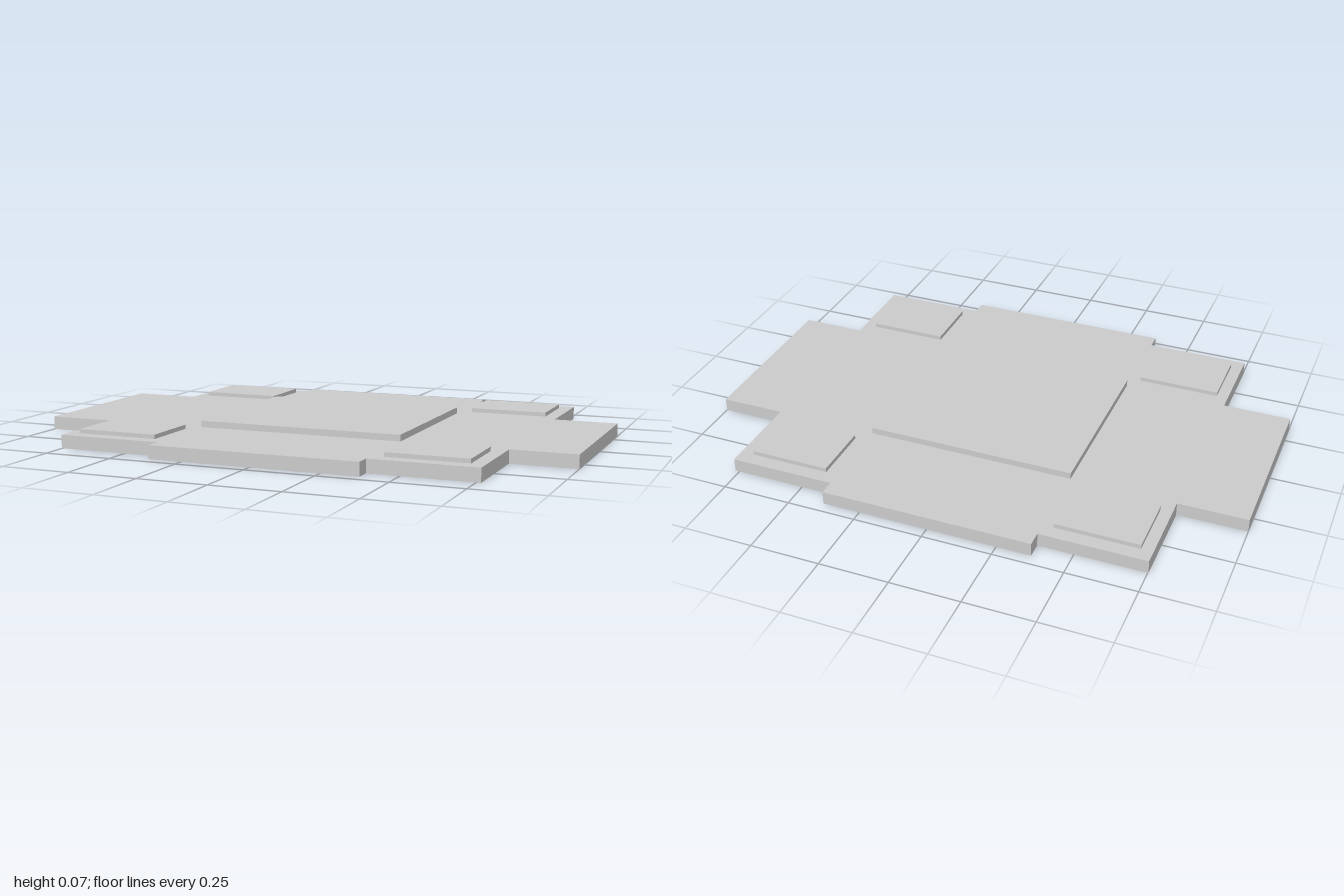
import * as THREE from 'three';

const material = new THREE.MeshStandardMaterial({ color: 0xcccccc, flatShading: true });
const BASE_TOP = 0.048;

// Box given by its extents on each axis
function slab(name, [x0, x1], [y0, y1], [z0, z1]) {
  const mesh = new THREE.Mesh(new THREE.BoxGeometry(x1 - x0, y1 - y0, z1 - z0), material);
  mesh.position.set((x0 + x1) / 2, (y0 + y1) / 2, (z0 + z1) / 2);
  mesh.name = name;
  return mesh;
}

// Stepped plate: half outline from left to right, mirrored front to back
function basePlate() {
  const half = [
    [-1, 0.325], [-0.752, 0.325], [-0.752, 0.652], [-0.373, 0.652], [-0.373, 0.709],
    [0.386, 0.709], [0.386, 0.652], [0.766, 0.652], [0.766, 0.325], [1, 0.325],
  ];
  const outline = [...half, ...half.map(([x, z]) => [x, -z]).reverse()];
  const shape = new THREE.Shape(outline.map(([x, z]) => new THREE.Vector2(x, z)));
  const geometry = new THREE.ExtrudeGeometry(shape, { depth: BASE_TOP, bevelEnabled: false });
  geometry.rotateX(-Math.PI / 2);
  const mesh = new THREE.Mesh(geometry, material);
  mesh.name = 'basePlate';
  return mesh;
}

export function createModel() {
  const model = new THREE.Group();
  model.name = 'steppedPlatform';
  model.add(basePlate());

  // Raised middle
  model.add(slab('centerPanel', [-0.373, 0.386], [BASE_TOP, 0.071], [-0.325, 0.325]));

  // Raised corner pads
  const sides = { Right: [-0.71, -0.41], Left: [0.429, 0.718] };
  const ends = { front: [0.378, 0.601], back: [-0.601, -0.378] };
  for (const [end, z] of Object.entries(ends)) {
    for (const [side, x] of Object.entries(sides)) {
      model.add(slab(`${end}${side}Pad`, x, [BASE_TOP, 0.063], z));
    }
  }
  return model;
}
